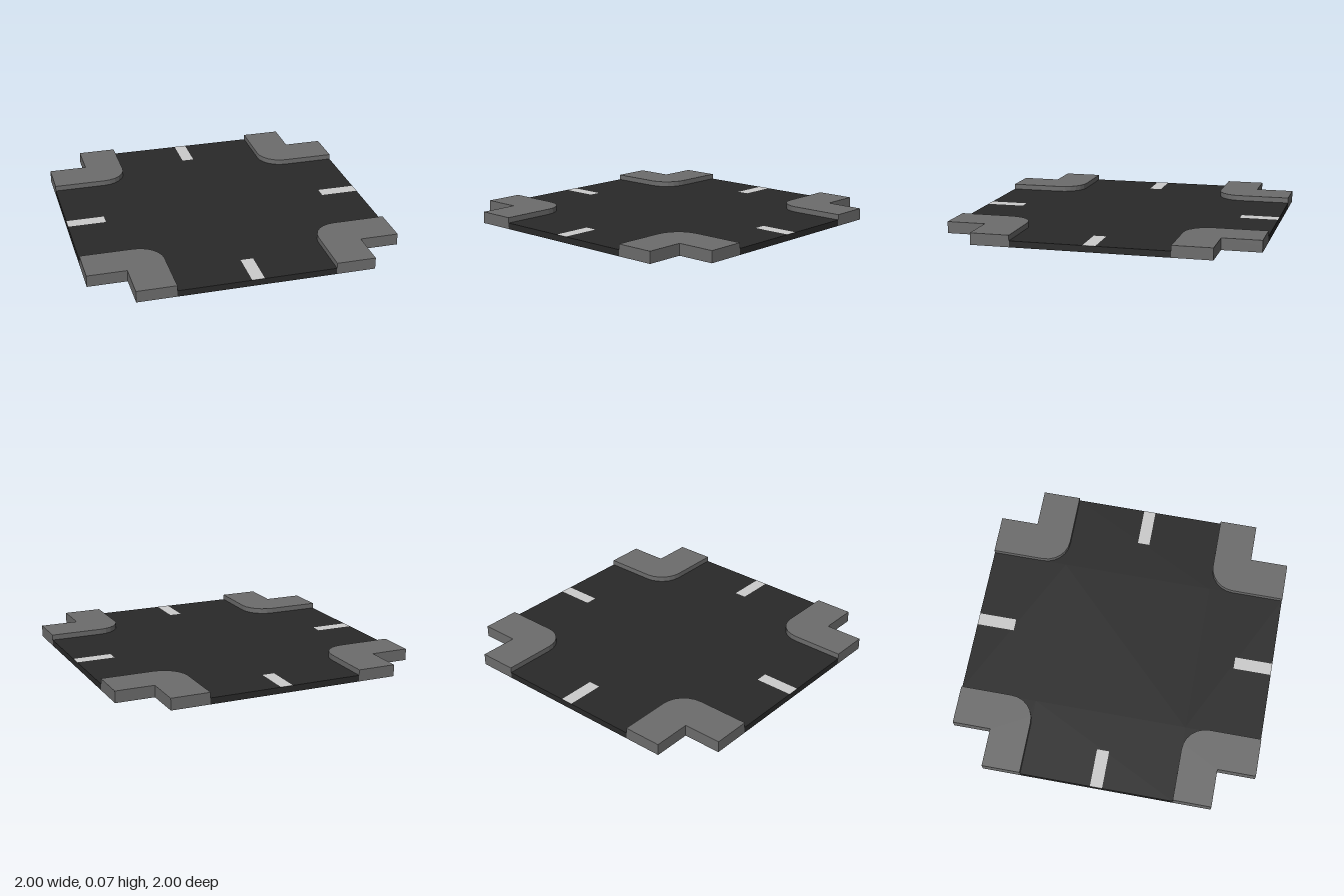
import * as THREE from 'three';

const ROAD_Y = 0.04, WALK_Y = 0.075, EDGE = 0.5, OUT = 0.75, R = 0.16;

const material = (color) => new THREE.MeshStandardMaterial({ color, flatShading: true });

// Stand a shape drawn in (x, -z) upright with the given bottom and height
function slab(name, shape, y, height, mat) {
  const geometry = height > 0
    ? new THREE.ExtrudeGeometry(shape, { depth: height, bevelEnabled: false, curveSegments: 3 })
    : new THREE.ShapeGeometry(shape, 3);
  geometry.rotateX(-Math.PI / 2).translate(0, y, 0);
  const mesh = new THREE.Mesh(geometry, mat);
  mesh.name = name;
  return mesh;
}

const polygon = (points) => new THREE.Shape(points.map(([x, y]) => new THREE.Vector2(x, y)));

// L-shaped corner outline, with an optional rounded kerb on the inside
function cornerShape(rounded) {
  const shape = polygon([[EDGE, 1], [OUT, 1], [OUT, OUT], [1, OUT], [1, EDGE]].reverse());
  const s = new THREE.Shape();
  const pts = shape.getPoints();
  s.moveTo(pts[0].x, pts[0].y);
  pts.slice(1).forEach((p) => s.lineTo(p.x, p.y));
  if (rounded) {
    s.lineTo(EDGE, EDGE + R);
    s.absarc(EDGE + R, EDGE + R, R, Math.PI, Math.PI * 1.5, false);
  } else {
    s.lineTo(EDGE, EDGE);
  }
  return s;
}

// Road surface between the square base corner and the rounded kerb
function filletShape() {
  const s = new THREE.Shape();
  s.moveTo(EDGE, EDGE);
  s.lineTo(EDGE + R, EDGE);
  s.absarc(EDGE + R, EDGE + R, R, Math.PI * 1.5, Math.PI, true);
  s.lineTo(EDGE, EDGE);
  return s;
}

export function createModel() {
  const group = new THREE.Group();
  group.name = 'crossroads';
  const asphalt = material(0x292929);
  const concrete = material(0x6c6c6c);
  const paint = material(0xbcbcbc);

  // Cross-shaped road
  const e = EDGE;
  group.add(slab('road', polygon([
    [-e, -1], [e, -1], [e, -e], [1, -e], [1, e], [e, e],
    [e, 1], [-e, 1], [-e, e], [-1, e], [-1, -e], [-e, -e],
  ]), 0, ROAD_Y, asphalt));

  for (let i = 0; i < 4; i++) {
    const quarter = new THREE.Group();
    quarter.name = `quarter${i + 1}`;
    quarter.rotation.y = i * Math.PI / 2;

    // Pavement corner: square base below road level, rounded kerb above
    quarter.add(slab('pavementBase', cornerShape(false), 0, ROAD_Y - 0.001, concrete));
    quarter.add(slab('pavementKerb', cornerShape(true), ROAD_Y - 0.001, WALK_Y - ROAD_Y + 0.001, concrete));
    quarter.add(slab('roadCorner', filletShape(), ROAD_Y, 0, asphalt));

    // Painted lane marking at the end of each arm
    const w = 0.04;
    quarter.add(slab('laneMarking', polygon([[OUT, -w], [1, -w], [1, w], [OUT, w]]), ROAD_Y + 0.001, 0, paint));
    group.add(quarter);
  }
  return group;
}
